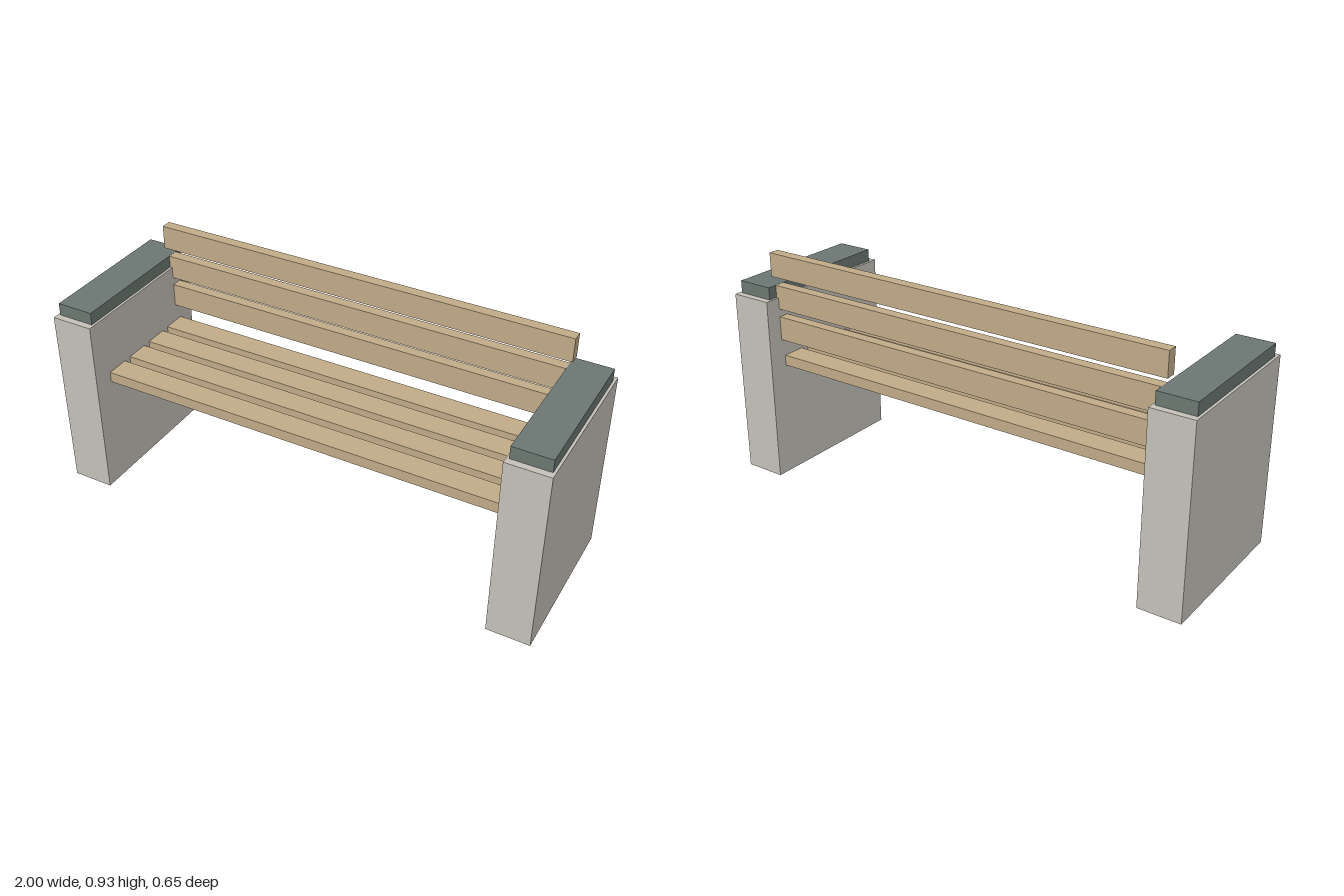
import * as THREE from 'three';

const concrete = new THREE.MeshStandardMaterial({ color: 0xc4c0b8 });
concrete.name = 'concrete';
const wood = new THREE.MeshStandardMaterial({ color: 0xc0aa87 });
wood.name = 'wood';
const slate = new THREE.MeshStandardMaterial({ color: 0x6b7772 });
slate.name = 'slate';

// Box from its centre x, z, bottom y and size
function block(name, material, [w, h, d], x, bottom, z) {
  const mesh = new THREE.Mesh(new THREE.BoxGeometry(w, h, d), material);
  mesh.name = name;
  mesh.position.set(x, bottom + h / 2, z);
  return mesh;
}

export function createModel() {
  const bench = new THREE.Group();
  bench.name = 'bench';

  // Solid end supports, each with an armrest cap
  for (const [side, s] of [['left', 1], ['right', -1]]) {
    bench.add(
      block(side + 'Support', concrete, [0.17, 0.753, 0.646], s * 0.915, 0, 0),
      block(side + 'Armrest', slate, [0.15, 0.05, 0.592], s * 0.915, 0.753, 0),
    );
  }

  // Four flat seat slats, running into the supports
  const seat = new THREE.Group();
  seat.name = 'seat';
  for (let i = 0; i < 4; i++) {
    seat.add(block('seatSlat' + (i + 1), wood, [1.72, 0.043, 0.095], 0, 0.464, 0.19 - i * 0.129));
  }

  // Three upright back slats
  const back = new THREE.Group();
  back.name = 'backrest';
  for (let i = 0; i < 3; i++) {
    back.add(block('backSlat' + (i + 1), wood, [1.72, 0.096, 0.043], 0, 0.578 + i * 0.1285, -0.2365));
  }

  bench.add(seat, back);
  return bench;
}
